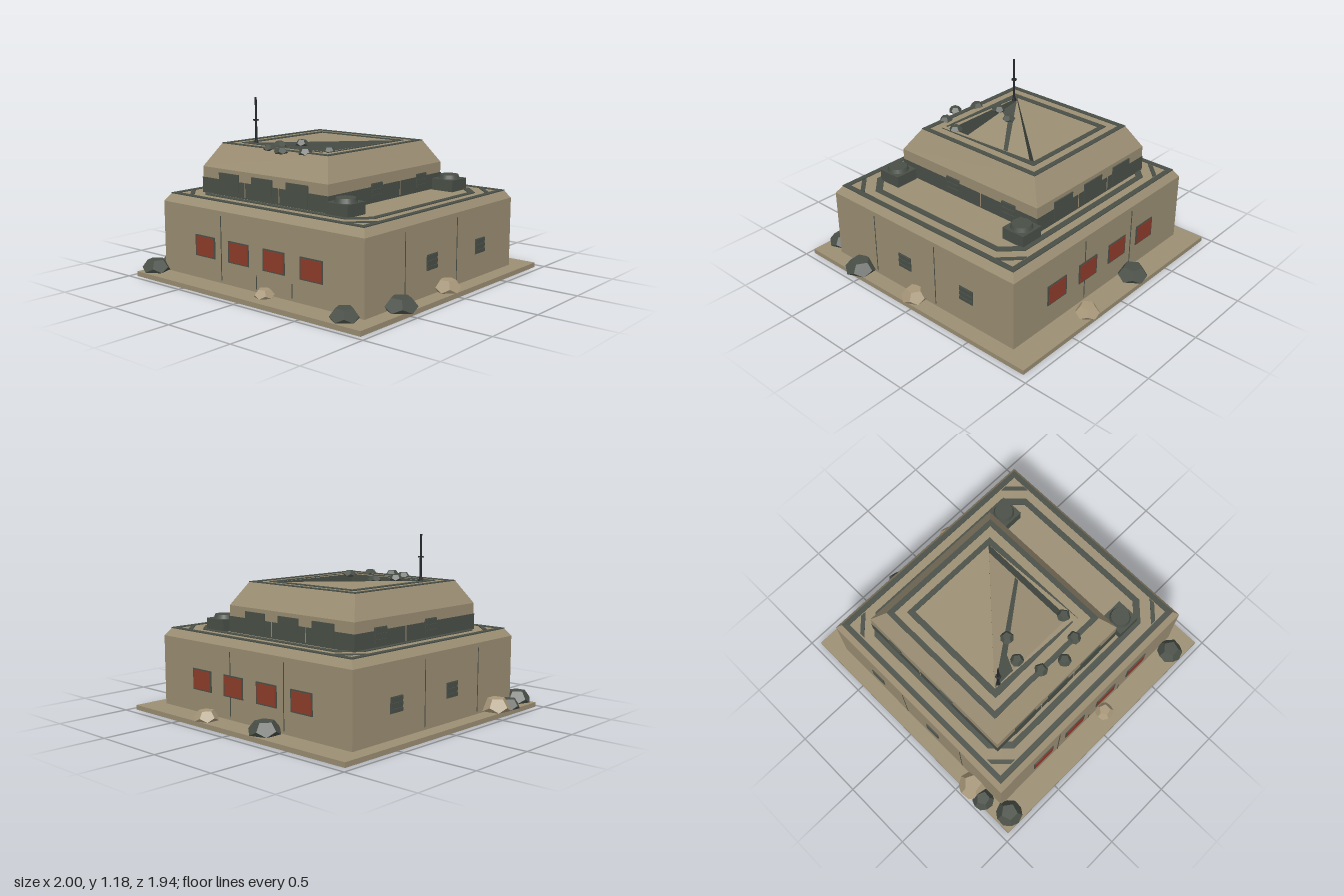
import * as THREE from 'three';

const mat = (name, color) => {
  const m = new THREE.MeshStandardMaterial({ color });
  m.name = name;
  return m;
};

export function createModel() {
  const model = new THREE.Group();
  const sand = mat('sand plaster', 0x9c8f74);
  const dark = mat('dark grey green', 0x4a5048);
  const red = mat('rust red', 0x8f3d2b);
  const paleRock = mat('pale rock', 0xa8987a);
  const black = mat('antenna black', 0x25282a);

  const add = (name, geo, material, x = 0, y = 0, z = 0, parent = model) => {
    const m = new THREE.Mesh(geo, material);
    m.name = name;
    m.position.set(x, y, z);
    parent.add(m);
    return m;
  };
  // Box given by its limits
  const box = (name, material, x0, x1, y0, y1, z0, z1) =>
    add(name, new THREE.BoxGeometry(x1 - x0, y1 - y0, z1 - z0), material,
      (x0 + x1) / 2, (y0 + y1) / 2, (z0 + z1) / 2);

  // Walls through stacked outlines; y is a number or a function of x
  const walls = (name, material, levels) => {
    const pos = [];
    const point = (y, [x, z]) => [x, typeof y === 'function' ? y(x) : y, z];
    for (let i = 0; i + 1 < levels.length; i++) {
      const [ya, a] = levels[i], [yb, b] = levels[i + 1];
      a.forEach((p, j) => {
        const k = (j + 1) % a.length;
        const A = point(ya, p), B = point(ya, a[k]), C = point(yb, b[k]), D = point(yb, b[j]);
        pos.push(...A, ...B, ...C, ...A, ...C, ...D);
      });
    }
    const g = new THREE.BufferGeometry();
    g.setAttribute('position', new THREE.Float32BufferAttribute(pos, 3));
    g.computeVertexNormals();
    return add(name, g, material);
  };
  // Rectangle outline, counter-clockwise seen from above, with optional cut corners
  const rect = (x0, x1, z0, z1, c = 0) => c
    ? [[x0 + c, z1], [x1 - c, z1], [x1, z1 - c], [x1, z0 + c], [x1 - c, z0], [x0 + c, z0], [x0, z0 + c], [x0, z1 - c]]
    : [[x0, z1], [x1, z1], [x1, z0], [x0, z0]];
  const shapeOf = (outline, hole) => {
    const v = (pts) => pts.map(([x, z]) => new THREE.Vector2(x, -z));
    const s = new THREE.Shape(v(outline));
    if (hole) s.holes.push(new THREE.Path(v(hole)));
    return s;
  };
  // Horizontal face, and a thin raised strip
  const flat = (name, material, y, outline, hole) =>
    add(name, new THREE.ShapeGeometry(shapeOf(outline, hole)).rotateX(-Math.PI / 2), material, 0, y, 0);
  const strip = (name, y, outline, hole) =>
    add(name, new THREE.ExtrudeGeometry(shapeOf(outline, hole), { depth: 0.006, bevelEnabled: false })
      .rotateX(-Math.PI / 2), dark, 0, y, 0);

  // Ground slab and main storey
  box('groundSlab', sand, -0.955, 0.955, 0, 0.032, -0.945, 0.965);
  const terrace = rect(-0.82, 0.815, -0.742, 0.762);
  const mainOutline = rect(-0.855, 0.85, -0.777, 0.8);
  walls('mainWalls', sand, [[0.03, mainOutline], [0.5, mainOutline], [0.55, terrace]]);
  flat('terrace', sand, 0.55, terrace);

  // Painted terrace bands
  strip('terraceEdgeBand', 0.549, rect(-0.822, 0.817, -0.744, 0.764), rect(-0.785, 0.78, -0.707, 0.727));
  strip('terraceRing', 0.549, rect(-0.72, 0.72, -0.65, 0.665, 0.12), rect(-0.68, 0.68, -0.61, 0.625, 0.105));
  for (const sx of [-1, 1]) for (const [sz, ez] of [[-1, 0.7], [1, 0.72]])
    strip('cornerStripe', 0.549,
      [[0.775, ez - 0.13], [0.775, ez - 0.09], [0.685, ez], [0.645, ez]].map(([x, z]) => [sx * x, sz * z]));

  // Upper storey with sloping shoulders and a half-collapsed roof
  const upper = rect(-0.685, 0.41, -0.575, 0.6);
  const roof = rect(-0.605, 0.325, -0.48, 0.5);
  const pit = [[-0.47, 0.36], [0.19, 0.36], [0.19, -0.36]];
  const topY = 0.875;
  const sag = (x) => 0.855 - 0.17 * (x + 0.47);
  walls('upperWalls', sand, [[0.55, upper], [0.725, upper], [topY, roof]]);
  flat('upperRoof', sand, topY, roof, pit);
  walls('pitWalls', dark, [[topY, pit], [sag, pit]]);

  // Fallen roof slab sloping into the opening
  const fallen = (name, material, lift, outline) => {
    const m = flat(name, material, 0, outline);
    const p = m.geometry.attributes.position;
    for (let i = 0; i < p.count; i++) p.setY(i, sag(p.getX(i)) + lift);
    m.geometry.computeVertexNormals();
  };
  fallen('fallenSlab', sand, 0, pit);
  fallen('fallenSlabGap', dark, 0.005,
    [[-0.46, 0.355], [-0.3, 0.355], [-0.25, 0.25], [0.185, -0.08], [0.185, -0.11]]);

  // Roof edging
  strip('roofEdgeBand', topY - 0.001, roof, rect(-0.57, 0.29, -0.445, 0.465));
  strip('roofRing', topY - 0.001, [[-0.51, 0.41], [-0.51, -0.39], [0.23, -0.39], [0.23, 0.41],
    [0.19, 0.4], [0.19, -0.355], [-0.47, -0.355], [-0.47, 0.365], [0.19, 0.395], [0.19, 0.405]]
    .filter((p, i) => i !== 4));

  // Dark band round the foot of the upper storey
  walls('upperBand', dark, [0.55, 0.655].map((y) => [y, rect(-0.689, 0.414, -0.579, 0.604)]));
  for (const x of [-0.438, -0.138, 0.162]) {
    box('frontUpperWindow', dark, x - 0.09, x + 0.09, 0.56, 0.7, 0.598, 0.608);
    box('backUpperWindow', dark, x - 0.09, x + 0.09, 0.56, 0.7, -0.583, -0.573);
  }
  for (const x of [-0.29, 0.01]) {
    box('frontUpperJoint', sand, x - 0.003, x + 0.003, 0.56, 0.655, 0.6, 0.606);
    box('backUpperJoint', sand, x - 0.003, x + 0.003, 0.56, 0.655, -0.581, -0.575);
  }
  for (const x of [-0.689, 0.414])
    box('sideUpperJoint', sand, x - 0.002, x + 0.002, 0.56, 0.655, -0.113, -0.107);

  // Red windows with dark frames, front and back
  for (const [wall, dir] of [[0.8, 1], [-0.777, -1]]) for (const x of [-0.456, -0.154, 0.15, 0.454]) {
    add('windowFrame', new THREE.BoxGeometry(0.18, 0.14, 0.008), dark, x, 0.25, wall + dir * 0.002);
    add('windowPane', new THREE.BoxGeometry(0.16, 0.124, 0.008), red, x, 0.25, wall + dir * 0.004);
  }

  // Louvred vents on both sides of both storeys
  const vent = (x, y, z) => {
    const g = new THREE.Group();
    g.name = 'sideVent';
    g.position.set(x, y, z);
    model.add(g);
    add('ventPlate', new THREE.BoxGeometry(0.006, 0.1, 0.112), dark, 0, 0, 0, g);
    for (const dy of [-0.035, 0, 0.035]) add('ventSlat', new THREE.BoxGeometry(0.016, 0.022, 0.108), dark, 0, dy, 0, g);
  };
  for (const z of [0.145, -0.395]) for (const x of [-0.855, 0.85]) vent(x, 0.24, z);
  for (const z of [0.135, -0.345]) for (const x of [-0.687, 0.412]) vent(x, 0.625, z);

  // Wall joints
  for (const [x, h] of [[-0.31, 0.42], [0, 0.09], [0.3, 0.09]])
    box('frontJoint', dark, x - 0.002, x + 0.002, 0.05, 0.05 + h, 0.798, 0.804);
  for (const x of [0.18, -0.305])
    box('backJoint', dark, x - 0.002, x + 0.002, 0.05, 0.47, -0.781, -0.775);
  for (const z of [0.42, -0.125]) for (const x of [-0.855, 0.85])
    box('sideJoint', dark, x - 0.003, x + 0.003, 0.05, 0.47, z - 0.002, z + 0.002);

  // Cooling units on the terrace
  for (const z of [-0.538, 0.552]) {
    box('coolingUnit', dark, 0.425, 0.59, 0.55, 0.628, z - 0.083, z + 0.083);
    add('coolingFan', new THREE.CylinderGeometry(0.062, 0.072, 0.027, 16), dark, 0.508, 0.641, z);
  }

  // Antenna
  add('antennaMast', new THREE.CylinderGeometry(0.007, 0.008, 0.31, 6), black, -0.43, 1.025, 0.355);
  add('antennaFoot', new THREE.CylinderGeometry(0.01, 0.016, 0.03, 6), black, -0.43, 0.885, 0.355);
  add('antennaCollar', new THREE.CylinderGeometry(0.02, 0.02, 0.008, 6), black, -0.43, 1.03, 0.355);

  // Faceted rocks with a flat top, cut off below their widest part
  const rock = (name, material, x, base, z, r, height, turn) => {
    const cut = -0.3, h = height / (0.795 - cut);
    const g = new THREE.DodecahedronGeometry(1, 0).rotateX(0.5536).rotateY(turn);
    const p = g.attributes.position;
    for (let i = 0; i < p.count; i++)
      p.setXYZ(i, p.getX(i) * r, (Math.max(p.getY(i), cut) - cut) * h, p.getZ(i) * r);
    g.computeVertexNormals();
    add(name, g, material, x, base, z);
  };
  [[-0.86, 0.88, 0.092, 0.085, dark], [0.77, 0.88, 0.09, 0.078, dark], [0.905, 0.53, 0.105, 0.085, dark],
    [0.89, 0.03, 0.085, 0.08, paleRock], [-0.9, 0.57, 0.1, 0.09, paleRock], [-0.92, 0.69, 0.075, 0.07, dark],
    [0.115, 0.85, 0.065, 0.055, paleRock], [-0.23, -0.865, 0.102, 0.088, dark], [0.285, -0.89, 0.08, 0.07, paleRock],
  ].forEach(([x, z, r, h, m], i) => rock('boulder', m, x, 0.03, z, r, h, i * 1.3));

  // Rubble along the broken roof edge
  [[-0.24, 0.33], [0.18, 0.33], [-0.18, 0.18], [-0.18, 0.48], [-0.03, 0.54], [0.12, 0.48]]
    .forEach(([x, z], i) => rock('roofRubble', dark, x, 0.862, z, 0.045, 0.04, i * 0.9));

  return model;
}
